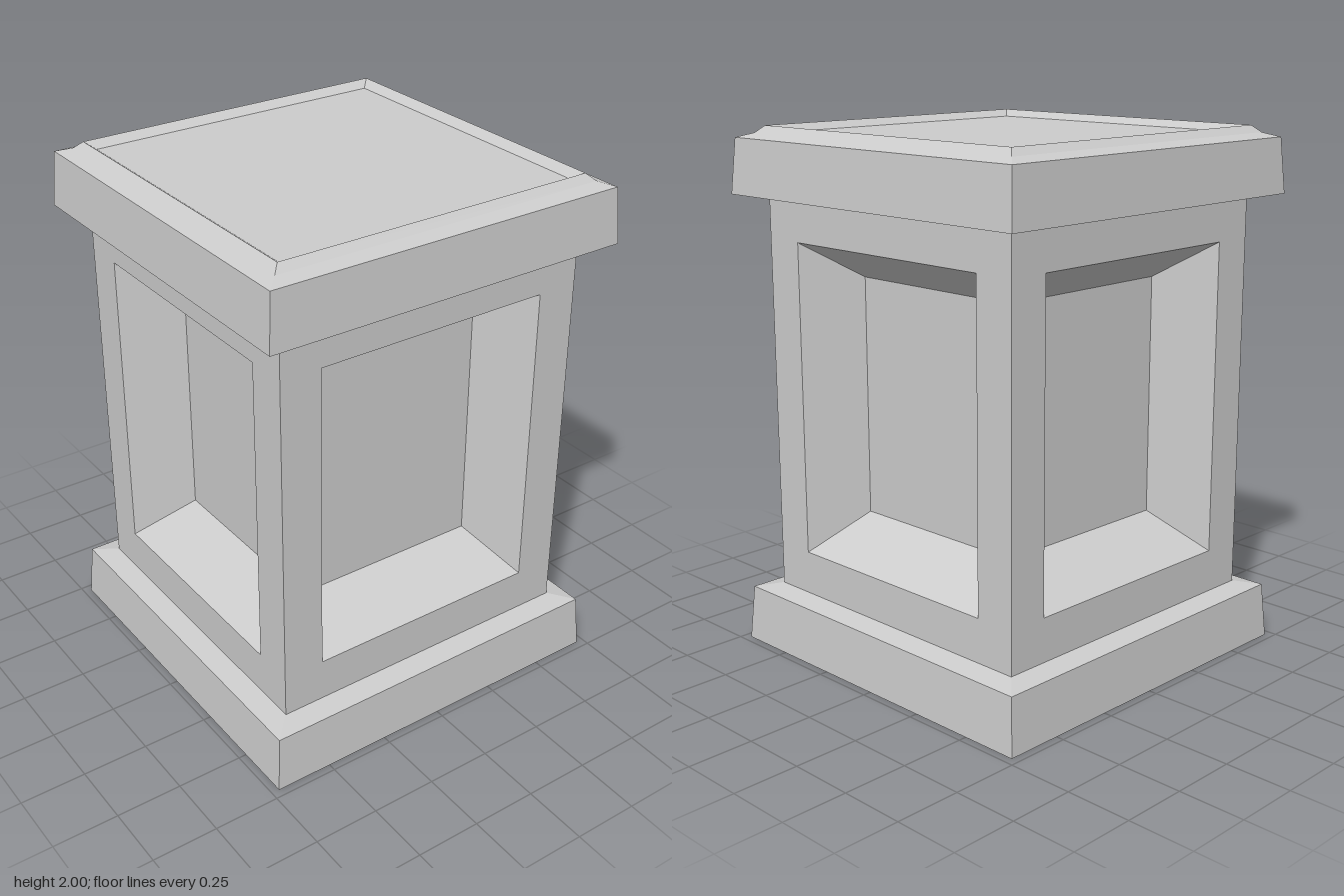
import * as THREE from 'three';

const material = new THREE.MeshStandardMaterial({ color: 0xcccccc, flatShading: true, side: THREE.DoubleSide });

// Square moulding: profile of [half width, y], swept round four sides
function squareMoulding(name, profile) {
  const points = profile.map(([half, y]) => new THREE.Vector2(half * Math.SQRT2, y));
  const geometry = new THREE.LatheGeometry(points, 4, Math.PI / 4).toNonIndexed();
  geometry.computeVertexNormals();
  const mesh = new THREE.Mesh(geometry, material);
  mesh.name = name;
  return mesh;
}

// Nested rectangles [half width, bottom, top, z] joined by strips, the last one filled
function nestedPanel(rects) {
  const positions = [];
  const corners = ([w, y0, y1, z]) => [[-w, y0, z], [w, y0, z], [w, y1, z], [-w, y1, z]];
  const quad = (a, b, c, d) => positions.push(...a, ...b, ...c, ...a, ...c, ...d);
  for (let r = 0; r < rects.length - 1; r++) {
    const outer = corners(rects[r]);
    const inner = corners(rects[r + 1]);
    for (let i = 0; i < 4; i++) {
      const j = (i + 1) % 4;
      quad(outer[i], outer[j], inner[j], inner[i]);
    }
  }
  quad(...corners(rects[rects.length - 1]));
  const geometry = new THREE.BufferGeometry();
  geometry.setAttribute('position', new THREE.Float32BufferAttribute(positions, 3));
  geometry.computeVertexNormals();
  return geometry;
}

export function createModel() {
  const model = new THREE.Group();
  model.name = 'pedestal';

  // Plinth, open underneath
  model.add(squareMoulding('base', [[0.72, 0], [0.705, 0.213], [0.622, 0.23]]));

  // Shaft: four faces, each with a deep bevelled recess
  const shaft = new THREE.Group();
  shaft.name = 'shaft';
  const face = nestedPanel([
    [0.622, 0.23, 1.75, 0.622],
    [0.463, 0.395, 1.587, 0.622],
    [0.352, 0.533, 1.447, 0.4],
  ]);
  ['front', 'left', 'back', 'right'].forEach((side, i) => {
    const wall = new THREE.Mesh(face, material);
    wall.name = side + 'Panel';
    wall.rotation.y = i * Math.PI / 2;
    shaft.add(wall);
  });
  model.add(shaft);

  // Cap with a raised rim round a sunken top
  model.add(squareMoulding('cap', [
    [0.622, 1.75], [0.72, 1.75], [0.705, 1.957], [0.654, 1.974],
    [0.626, 2], [0.592, 1.974], [0, 1.974],
  ]));

  return model;
}
